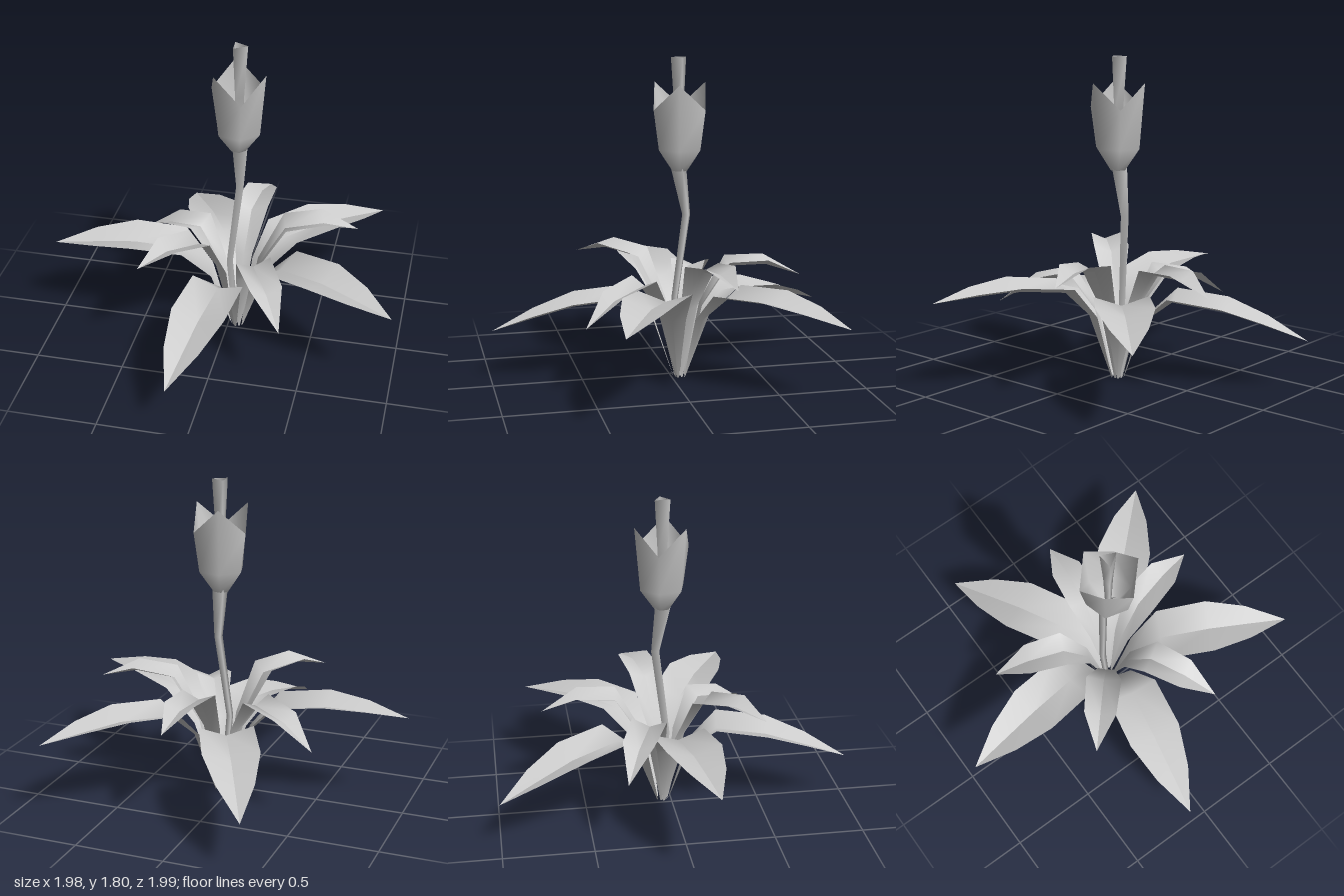
import * as THREE from 'three';

const CX = 0.053, CZ = -0.048; // axis of the plant
const material = new THREE.MeshStandardMaterial({ color: 0xcccccc, side: THREE.DoubleSide });

function makeMesh(name, positions, index) {
  const geo = new THREE.BufferGeometry();
  geo.setAttribute('position', new THREE.Float32BufferAttribute(positions, 3));
  geo.setIndex(index);
  geo.computeVertexNormals();
  const mesh = new THREE.Mesh(geo, material);
  mesh.name = name;
  return mesh;
}

// Skin a closed tube through rings that all have the same number of points
function loft(name, rings) {
  const n = rings[0].length, index = [];
  for (let i = 0; i < rings.length - 1; i++) {
    for (let j = 0; j < n; j++) {
      const a = i * n + j, b = i * n + (j + 1) % n;
      index.push(a, a + n, b, b, a + n, b + n);
    }
  }
  return makeMesh(name, rings.flat(2), index);
}

function ring(x, y, z, radius, sides, startDeg) {
  return Array.from({ length: sides }, (_, j) => {
    const a = THREE.MathUtils.degToRad(startDeg) + j * 2 * Math.PI / sides;
    return [x + radius * Math.cos(a), y, z + radius * Math.sin(a)];
  });
}

// Leaf stations: distance out, edge height, half width, depth of the fold
const LARGE = [
  [0.035, 0.0, 0.006, 0], [0.15, 0.35, 0.075, 0.02], [0.31, 0.5, 0.15, 0.05],
  [0.6, 0.465, 0.155, 0.05], [0.83, 0.385, 0.1, 0.035], [1.06, 0.28, 0, 0],
];
const SMALL = [
  [0.03, 0.0, 0.005, 0], [0.12, 0.4, 0.05, 0.015], [0.27, 0.615, 0.1, 0.04],
  [0.49, 0.565, 0.09, 0.04], [0.69, 0.41, 0, 0],
];

// Folded leaf running out from the axis to the tip, bent up to reach its height
function leaf(name, stations, [tipX, tipY, tipZ]) {
  const dx = tipX - CX, dz = tipZ - CZ, len = Math.hypot(dx, dz);
  const ux = dx / len, uz = dz / len;
  const last = stations[stations.length - 1];
  const lift = (tipY - last[1]) / last[0];
  const scale = len / last[0];
  const positions = [], index = [];
  for (const [s, y, w, fold] of stations) {
    const d = s * scale, h = y + lift * Math.max(0, s - 0.035);
    for (const [side, drop] of [[-1, 0], [0, fold], [0, fold], [1, 0]]) {
      positions.push(CX + ux * d - uz * w * side, h - drop, CZ + uz * d + ux * w * side);
    }
  }
  // The midrib is smooth near the base and a sharp crease towards the tip
  const crease = stations.length - 3;
  const rib = (i) => i * 4 + (i < crease ? 1 : 2);
  for (let i = 0; i < stations.length - 1; i++) {
    const l = i * 4, r = i * 4 + 3;
    for (const [a, b] of [[[l, l + 4], [l + 1, l + 5]], [[rib(i), rib(i + 1)], [r, r + 4]]]) {
      index.push(a[0], b[0], a[1]);
      if (i < stations.length - 2) index.push(b[0], b[1], a[1]);
      else index.splice(-3, 3, a[0], b[0], a[1]);
    }
  }
  return makeMesh(name, positions, index);
}

export function createModel() {
  const group = new THREE.Group();
  group.name = 'floweringPlant';

  // Outer and inner whorls, five leaves each
  const largeTips = [
    [-0.42, 0.28, -1], [0.81, 0.44, -0.79], [0.99, 0.53, 0.44],
    [-0.12, 0.28, 0.99], [-0.99, 0.53, 0.1],
  ];
  const smallTips = [
    [0.12, 0.58, -0.73], [0.72, 0.67, -0.2], [0.4, 0.41, 0.54],
    [-0.4, 0.67, 0.46], [-0.57, 0.42, -0.32],
  ];
  largeTips.forEach((tip, i) => group.add(leaf(`largeLeaf${i + 1}`, LARGE, tip)));
  smallTips.forEach((tip, i) => group.add(leaf(`smallLeaf${i + 1}`, SMALL, tip)));

  // Bent three-sided stem, widening under the flower
  const stem = [
    [0.04, 0, -0.05, 0.02], [0.005, 0.45, -0.035, 0.022],
    [0.05, 0.93, -0.09, 0.027], [CX, 1.2, CZ, 0.052],
  ];
  group.add(loft('stem', stem.map(([x, y, z, r]) => ring(x, y, z, r, 3, -4))));

  // Three-sided open pistil flaring to the top
  const pistil = [[1.2, 0.02], [1.5, 0.03], [1.8, 0.05]];
  group.add(loft('pistil', pistil.map(([y, r]) => ring(CX, y, CZ, r, 3, -4))));

  // Six-sided cup whose rim rises to a point at every other corner
  const cup = [[1.18, 0.045], [1.3, 0.13], [1.52, 0.162]].map(([y, r]) => ring(CX, y, CZ, r, 6, 14));
  cup[2].forEach((p, j) => { if (j % 2 === 0) p[1] = 1.66; });
  group.add(loft('flowerCup', cup));

  return group;
}
